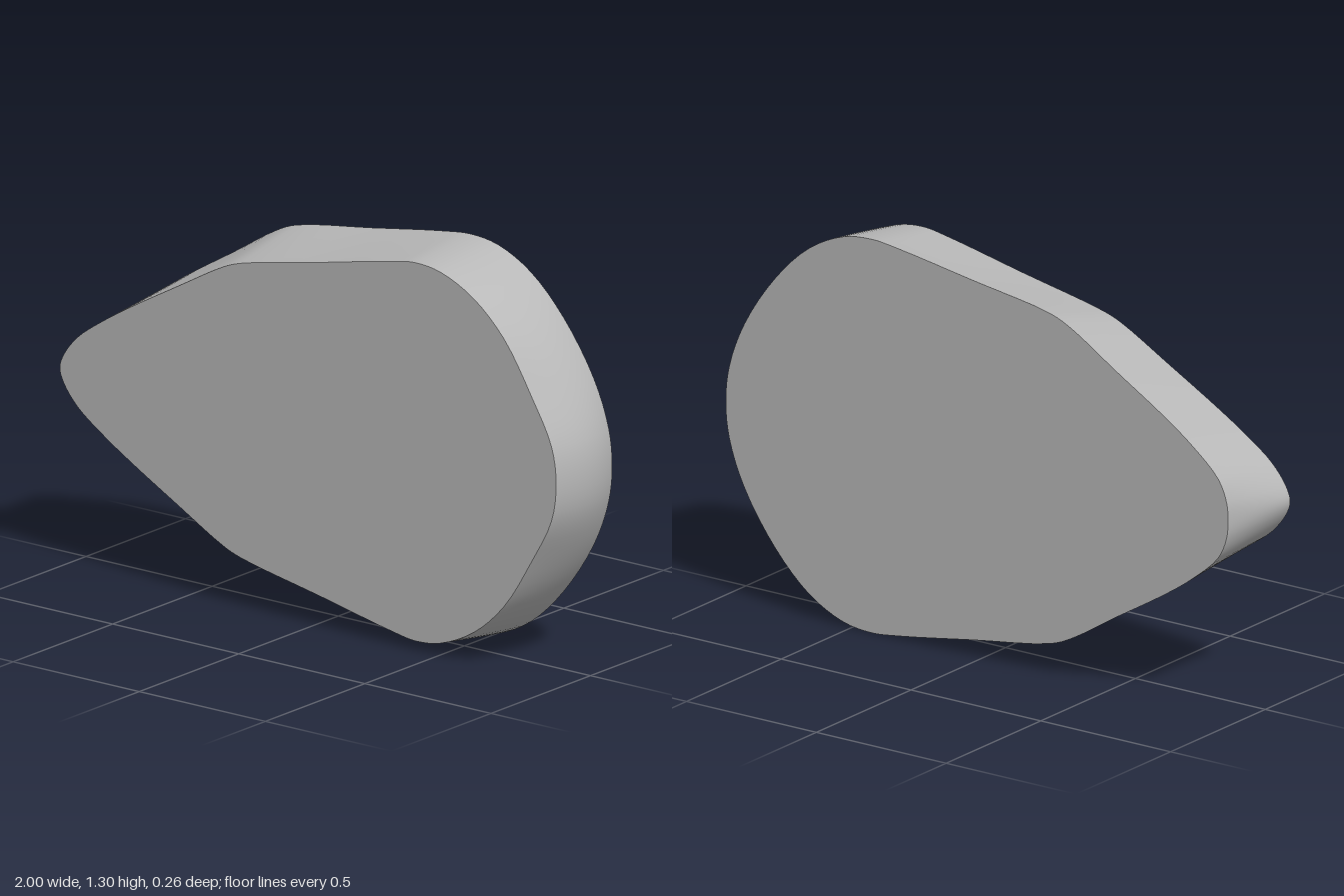
import * as THREE from 'three';

const MID = 0.649; // height of the symmetry plane
const HALF_DEPTH = 0.132;

// upper half outlines, tip to round end, as [x, height above the symmetry plane]
const FRONT = [[-1, 0], [-0.985, 0.045], [-0.93, 0.113], [-0.83, 0.185], [-0.72, 0.252], [-0.53, 0.358], [-0.35, 0.456],
  [-0.28, 0.481], [0.03, 0.544], [0.32, 0.604], [0.41, 0.617], [0.51, 0.605], [0.64, 0.545], [0.76, 0.438],
  [0.87, 0.27], [0.95, 0.12], [0.968, 0]];
const BACK = [[-0.953, 0], [-0.947, 0.06], [-0.915, 0.13], [-0.81, 0.223], [-0.7, 0.298], [-0.52, 0.406], [-0.35, 0.51],
  [-0.27, 0.543], [0.03, 0.592], [0.32, 0.638], [0.42, 0.648], [0.53, 0.634], [0.66, 0.57], [0.79, 0.446],
  [0.91, 0.27], [0.968, 0.12], [0.982, 0]];

// smooth closed outline, mirrored below, ordered clockwise from the front
function outline(half) {
  const lower = half.slice(1, -1).reverse().map(([x, h]) => [x, -h]);
  const pts = [...half, ...lower].map(([x, h]) => new THREE.Vector3(x, MID + h, 0));
  const curve = new THREE.CatmullRomCurve3(pts, true, 'centripetal');
  const n = pts.length * 4;
  return Array.from({ length: n }, (_, i) => curve.getPoint(i / n));
}

function buildGeometry(positions, index) {
  const g = new THREE.BufferGeometry();
  g.setAttribute('position', new THREE.Float32BufferAttribute(positions, 3));
  g.setIndex(index);
  g.computeVertexNormals();
  return g;
}

export function createModel() {
  const group = new THREE.Group();
  group.name = 'taperedSlab';
  const grey = new THREE.MeshStandardMaterial({ color: 0xb8b8b8 });
  grey.name = 'grey';

  // cross-sections from front to back, bulging a little at the round end
  const front = outline(FRONT), back = outline(BACK);
  const n = front.length, steps = 10, rings = [];
  for (let s = 0; s <= steps; s++) {
    const t = s / steps;
    rings.push(front.map((p, i) => {
      const q = p.clone().lerp(back[i], t);
      q.x += 0.025 * 4 * t * (1 - t) * THREE.MathUtils.smoothstep(q.x, 0.4, 0.98);
      q.z = HALF_DEPTH * (1 - 2 * t);
      return q;
    }));
  }

  const add = (name, geometry) => {
    const mesh = new THREE.Mesh(geometry, grey);
    mesh.name = name;
    group.add(mesh);
  };

  // rim wall
  const index = [];
  for (let s = 0; s < steps; s++) {
    for (let i = 0; i < n; i++) {
      const j = (i + 1) % n;
      const a = s * n + i, b = s * n + j, c = a + n, d = b + n;
      index.push(a, b, c, b, d, c);
    }
  }
  add('rim', buildGeometry(rings.flat().flatMap((p) => p.toArray()), index));

  // flat faces, fanned from the centre
  const cap = (ring, isFront) => {
    const centre = new THREE.Vector3(0.2, MID, ring[0].z);
    const tris = [];
    for (let i = 0; i < n; i++) {
      const j = (i + 1) % n;
      tris.push(n, isFront ? j : i, isFront ? i : j);
    }
    return buildGeometry([...ring, centre].flatMap((p) => p.toArray()), tris);
  };
  add('frontFace', cap(rings[0], true));
  add('backFace', cap(rings[steps], false));
  return group;
}
